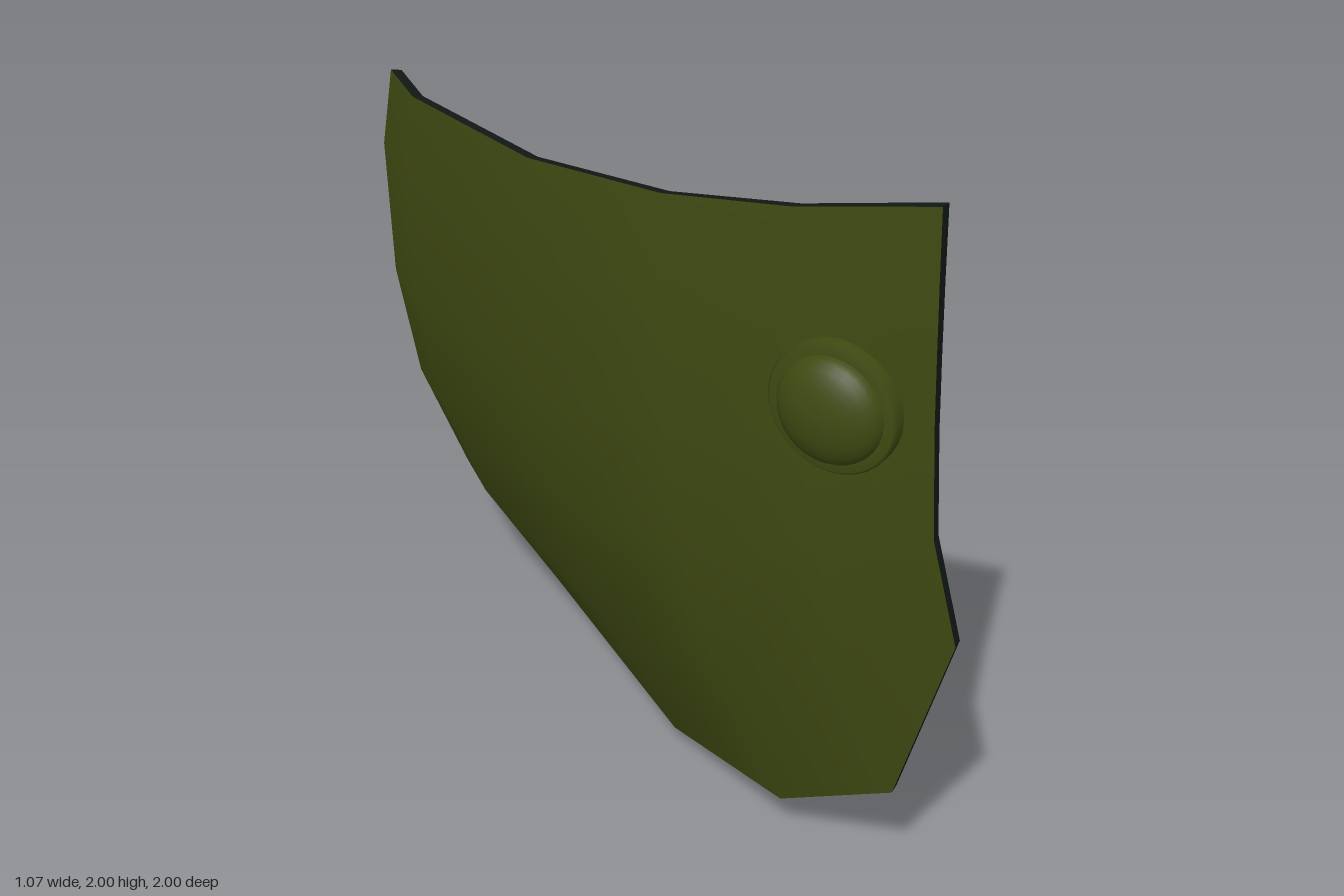
import * as THREE from 'three';

const N = 5; // panel cells along each direction
const THICKNESS = 0.03;

// Boundary curves of the outer skin, as [x, y, z]
const bottomEdge = [[-0.11, 0, -1], [-0.105, 0.012, -0.77], [0.05, 0.045, 0.1], [0.22, 0.12, 0.57], [0.425, 0.32, 0.86], [0.515, 0.84, 1]];
const topEdge = [[-0.505, 1.62, -1], [-0.48, 1.63, -0.77], [-0.29, 1.72, -0.1], [-0.06, 1.81, 0.37], [0.17, 1.9, 0.7], [0.425, 2, 0.98]];
const backEdge = [[-0.11, 0, -1], [-0.33, 0.33, -1], [-0.46, 0.66, -1], [-0.52, 1, -1], [-0.535, 1.4, -1], [-0.505, 1.62, -1]];
const frontEdge = [[0.515, 0.84, 1], [0.45, 1.14, 0.985], [0.437, 1.42, 0.98], [0.432, 1.62, 0.98], [0.428, 1.81, 0.98], [0.425, 2, 0.98]];

// Skin point blended from the four edges, with a slight outward bulge
function skinPoint(i, j) {
  const u = i / N, v = j / N;
  const p = [0, 1, 2].map((k) =>
    (1 - v) * bottomEdge[i][k] + v * topEdge[i][k]
    + (1 - u) * backEdge[j][k] + u * frontEdge[j][k]
    - (1 - u) * (1 - v) * backEdge[0][k] - (1 - u) * v * backEdge[N][k]
    - u * (1 - v) * frontEdge[0][k] - u * v * frontEdge[N][k]);
  p[0] -= 0.04 * Math.sin(Math.PI * u) * Math.sin(Math.PI * v);
  return new THREE.Vector3(...p);
}

// Smooth grid surface; flip turns it to face the other way
function gridGeometry(points, flip) {
  const index = [];
  for (let j = 0; j < N; j++) {
    for (let i = 0; i < N; i++) {
      const a = j * (N + 1) + i, b = a + 1, d = a + N + 1, c = d + 1;
      index.push(...(flip ? [a, c, b, a, d, c] : [a, b, c, a, c, d]));
    }
  }
  const geometry = new THREE.BufferGeometry().setFromPoints(points);
  geometry.setIndex(index);
  geometry.computeVertexNormals();
  return geometry;
}

// Flat-shaded strip closing the gap between both skins
function rimGeometry(outer, inner) {
  const loop = [];
  const W = N + 1;
  for (let i = 0; i < N; i++) loop.push(i);
  for (let j = 0; j < N; j++) loop.push(j * W + N);
  for (let i = N; i > 0; i--) loop.push(N * W + i);
  for (let j = N; j > 0; j--) loop.push(j * W);
  const points = [];
  loop.forEach((a, k) => {
    const b = loop[(k + 1) % loop.length];
    points.push(outer[a], inner[a], inner[b], outer[a], inner[b], outer[b]);
  });
  const geometry = new THREE.BufferGeometry().setFromPoints(points);
  geometry.computeVertexNormals();
  return geometry;
}

export function createModel() {
  const model = new THREE.Group();
  const olive = new THREE.MeshStandardMaterial({ color: 0x3f4a12 });
  const dark = new THREE.MeshStandardMaterial({ color: 0x111915 });

  const add = (parent, name, geometry, material) => {
    const mesh = new THREE.Mesh(geometry, material);
    mesh.name = name;
    parent.add(mesh);
    return mesh;
  };

  // Curved panel: outer skin, offset lining, closing rim
  const outer = [];
  for (let j = 0; j <= N; j++) for (let i = 0; i <= N; i++) outer.push(skinPoint(i, j));
  const outerGeometry = gridGeometry(outer, false);
  const normals = outerGeometry.attributes.normal;
  const inner = outer.map((p, k) => {
    const n = new THREE.Vector3().fromBufferAttribute(normals, k);
    const q = p.clone().addScaledVector(n, -THICKNESS);
    if (k % (N + 1) === 0) q.z = -1;
    q.y = THREE.MathUtils.clamp(q.y, 0, 2);
    return q;
  });
  const panel = new THREE.Group();
  panel.name = 'panel';
  add(panel, 'outerSkin', outerGeometry, olive);
  add(panel, 'innerLining', gridGeometry(inner, true), dark);
  add(panel, 'panelRim', rimGeometry(outer, inner), dark);
  model.add(panel);

  // Round pivot: domed cap outside, ring showing through the lining
  const pivot = new THREE.Group();
  pivot.name = 'pivot';
  const lathe = (profile) => new THREE.LatheGeometry(profile.map(([r, y]) => new THREE.Vector2(r, y)), 32);
  const dome = [];
  for (let k = 0; k <= 8; k++) {
    const a = (k / 8) * Math.PI / 2;
    dome.push([0.14 * Math.cos(a), 0.03 + 0.07 * Math.sin(a)]);
  }
  add(pivot, 'pivotDome', lathe(dome), olive);
  const ring = [[0.135, -0.02], [0.135, -0.045], [0.135, -0.045], [0.162, -0.045], [0.17, -0.038], [0.17, 0.025], [0.162, 0.034], [0.13, 0.034]];
  add(pivot, 'pivotRing', lathe(ring), olive);
  pivot.position.set(0.255, 1.44, 0.815);
  pivot.quaternion.setFromUnitVectors(new THREE.Vector3(0, 1, 0), new THREE.Vector3(-1, 0, 1).normalize());
  model.add(pivot);

  return model;
}
